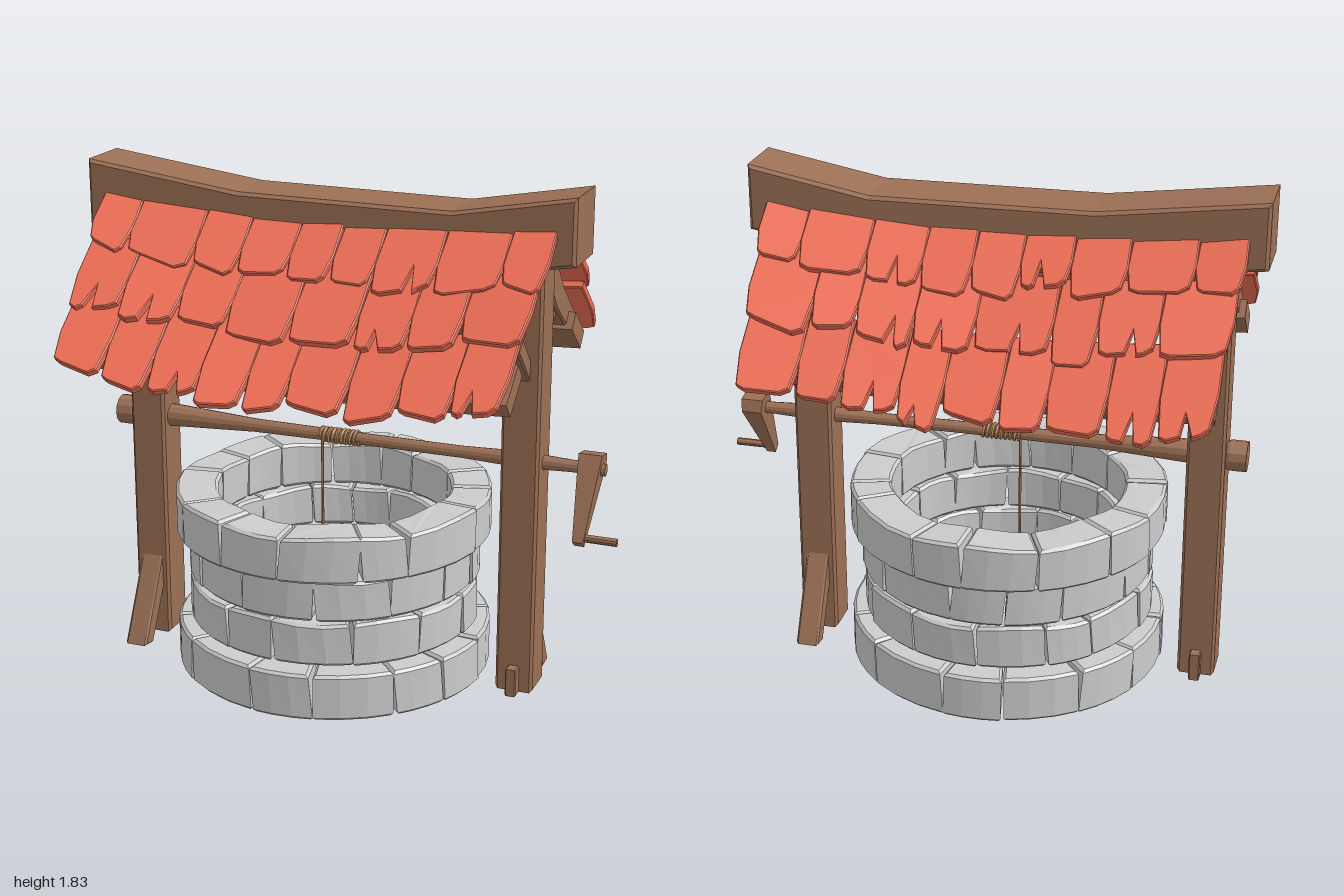
import * as THREE from 'three';

const mat = (color) => new THREE.MeshStandardMaterial({ color, flatShading: true });
const CX = -0.09; // centre of the well and roof

// small seeded random generator
function seeded(seed) {
  let s = seed;
  return (a = 0, b = 1) => {
    s = (s * 16807) % 2147483647;
    return a + (b - a) * (s / 2147483647);
  };
}

// bevelled extrusion of a list of [x, y] points, bevel kept inside the outline and depth
function slab(points, depth, bevel) {
  const shape = new THREE.Shape(points.map((p) => new THREE.Vector2(p[0], p[1])));
  const geo = new THREE.ExtrudeGeometry(shape, {
    depth: depth - 2 * bevel, bevelEnabled: bevel > 0, bevelThickness: bevel,
    bevelSize: bevel, bevelOffset: -bevel, bevelSegments: 1, steps: 1,
  });
  return geo.translate(0, 0, bevel);
}

// profile in the (z, y) plane, running from x0 to x1
function sideSlab(points, x0, x1, bevel = 0.007) {
  return slab(points, x1 - x0, bevel).rotateY(-Math.PI / 2).translate(x1, 0, 0);
}

// move every vertex by a rule
function warp(geo, rule) {
  const p = geo.attributes.position;
  const v = new THREE.Vector3();
  for (let i = 0; i < p.count; i++) {
    v.fromBufferAttribute(p, i);
    rule(v);
    p.setXYZ(i, v.x, v.y, v.z);
  }
  geo.computeVertexNormals();
  return geo;
}

export function createModel() {
  const model = new THREE.Group();
  const wood = mat(0x9c7055);
  const stone = mat(0xcccccc);
  const clay = mat(0xf27057);
  const ropeMat = mat(0xb98a5e);
  const add = (name, geo, material, parent = model) => {
    const mesh = new THREE.Mesh(geo, material);
    mesh.name = name;
    parent.add(mesh);
    return mesh;
  };

  // stone wall: four courses of curved bevelled blocks
  const wall = new THREE.Group();
  wall.name = 'stoneWall';
  wall.position.x = CX;
  model.add(wall);
  const courses = [
    [0.015, 0.185, 0.58, 0.425], [0.2, 0.358, 0.533, 0.405],
    [0.368, 0.522, 0.533, 0.405], [0.527, 0.692, 0.58, 0.425],
  ];
  courses.forEach(([y0, y1, outer, inner], c) => {
    const rnd = seeded(4177 + c * 911);
    const count = 14;
    const cuts = [];
    for (let i = 0; i < count; i++) cuts.push(((i + c * 0.5 + rnd(-0.2, 0.2)) / count) * Math.PI * 2);
    cuts.push(cuts[0] + Math.PI * 2);
    for (let i = 0; i < count; i++) {
      const a0 = cuts[i] + 0.007, a1 = cuts[i + 1] - 0.007;
      const points = [];
      const segs = 3;
      const ro = outer + rnd(-0.007, 0.003);
      for (let k = 0; k <= segs; k++) {
        const a = a0 + ((a1 - a0) * k) / segs;
        points.push([Math.cos(a) * ro, Math.sin(a) * ro]);
      }
      for (let k = segs; k >= 0; k--) {
        const a = a0 + ((a1 - a0) * k) / segs;
        points.push([Math.cos(a) * inner, Math.sin(a) * inner]);
      }
      const geo = slab(points, y1 - y0, 0.01).rotateX(-Math.PI / 2).translate(0, y0, 0);
      const lean = rnd(-0.03, 0.03);
      warp(geo, (v) => {
        const a = Math.atan2(v.z, v.x);
        const t = (v.y - y0) / (y1 - y0);
        if (c > 0) v.y += 0.007 * t * Math.sin(a * 7 + c * 2);
        const turn = lean * (t - 0.5);
        v.applyAxisAngle(new THREE.Vector3(0, 1, 0), turn);
      });
      add('stoneBlock', geo, stone, wall);
    }
  });

  // posts, with rafters, knee braces and foot props
  const rafter = [[0.02, 1.56], [0.07, 1.51], [0.19, 1.37], [0.42, 1.2], [0.475, 1.265], [0.27, 1.44], [0.12, 1.62], [0.02, 1.66]];
  const knee = [[0.06, 1.17], [0.235, 1.345], [0.19, 1.39], [0.06, 1.255]];
  const prop = [[0.05, 0.36], [0.23, 0.015], [0.165, 0.005], [0.05, 0.22]];
  const flip = (points, s) => points.map(([z, y]) => [z * s, y]);
  for (const [x0, x1, propSide] of [[-0.878, -0.743, 1], [0.56, 0.698, -1]]) {
    const mid = (x0 + x1) / 2;
    add('post', sideSlab([[-0.07, 0.01], [0.07, 0.01], [0.07, 1.64], [-0.07, 1.64]], x0, x1, 0.01), wood);
    for (const s of [1, -1]) {
      add('rafter', sideSlab(flip(rafter, s), mid - 0.045, mid + 0.045), wood);
      add('kneeBrace', sideSlab(flip(knee, s), mid - 0.03, mid + 0.03), wood);
    }
    add('footProp', sideSlab(flip(prop, propSide), mid - 0.042, mid + 0.042), wood);
    const peg = [[0.05, 0.005], [0.11, 0.005], [0.11, 0.11], [0.05, 0.11]];
    add('footPeg', sideSlab(flip(peg, -propSide), mid - 0.02, mid + 0.02, 0.004), wood);
  }

  // sagging ridge beam
  const ridge = [[-0.995, 1.6], [-0.41, 1.53], [0.38, 1.525], [0.815, 1.6], [0.815, 1.835], [0.38, 1.755], [-0.41, 1.76], [-0.995, 1.835]];
  add('ridgeBeam', slab(ridge, 0.235, 0.012).translate(0, 0, -0.125), wood);

  // planks under the eaves
  for (const s of [1, -1]) {
    const geo = new THREE.BoxGeometry(1.58, 0.07, 0.16, 4, 1, 1);
    geo.rotateX(s * 0.7).translate(CX, 1.245, s * 0.385);
    warp(geo, (v) => { v.y -= 0.025 * (1 - ((v.x - CX) / 0.79) ** 2); });
    add('eavePlank', geo, wood);
  }

  // roof: three overlapping rows of ragged tiles on each side
  const pitch = -0.764;
  const bottoms = [0.25, 0.475, 0.735];
  for (const s of [1, -1]) {
    const side = new THREE.Group();
    side.name = s > 0 ? 'frontRoof' : 'backRoof';
    side.position.x = CX;
    model.add(side);
    const rnd = seeded(s > 0 ? 7321 : 15013);
    bottoms.forEach((bottom, row) => {
      const top = row === 0 ? 0 : bottoms[row - 1] - 0.08;
      const count = 9 - (row % 2);
      const half = 0.84 - row * 0.015;
      const cuts = [];
      for (let i = 0; i <= count; i++) {
        const edge = i === 0 || i === count;
        cuts.push(-half + (2 * half * (i + (edge ? 0 : rnd(-0.2, 0.2)))) / count);
      }
      for (let i = 0; i < count; i++) {
        const w = cuts[i + 1] - cuts[i];
        const len = bottom - top + rnd(-0.03, 0.025);
        const h = w / 2 - 0.002;
        const slant = rnd(-0.018, 0.018);
        const points = [[-h, 0], [-h - 0.004, -len * 0.6], [-h + 0.012, -len + slant + 0.012], [-h * 0.6, -len + slant]];
        if (rnd() < 0.35) { // split in the lower edge
          const n = rnd(-0.3, 0.3) * h;
          points.push([n - 0.018, -len + 0.004], [n + rnd(-0.012, 0.012), -len + rnd(0.07, 0.11)], [n + 0.02, -len]);
        }
        points.push([h * 0.6, -len - slant], [h - 0.01, -len - slant + 0.02], [h + 0.004, -len * 0.55], [h, 0]);
        const geo = slab(points, 0.03, 0.004);
        geo.rotateY(rnd(-0.05, 0.05)).rotateX(-0.09 + rnd(-0.05, 0.02));
        geo.translate((cuts[i] + cuts[i + 1]) / 2, -top, -0.025 + rnd(0, 0.008));
        geo.rotateX(pitch).translate(0, 1.72, 0.1);
        warp(geo, (v) => { v.y -= 0.05 * (1 - Math.min(1, (v.x / 0.84) ** 2)); });
        if (s < 0) geo.rotateY(Math.PI);
        add('roofTile', geo, clay, side);
      }
    });
  }

  // windlass axle, thicker at its ends
  const axle = [[0, -0.95], [0.055, -0.95], [0.055, -0.89], [0.045, -0.86], [0.042, -0.72], [0.025, -0.4],
    [0.022, 0], [0.022, 0.4], [0.03, 0.62], [0.022, 0.8], [0.022, 0.92], [0, 0.92]];
  const axleGeo = new THREE.LatheGeometry(axle.map(([r, y]) => new THREE.Vector2(r, y)), 12);
  add('axle', axleGeo.rotateZ(-Math.PI / 2).translate(0, 0.87, 0), wood);

  // rope wound on the axle and hanging into the well
  const coil = [];
  for (let i = 0; i <= 108; i++) {
    const a = (i / 12) * Math.PI * 2;
    coil.push(new THREE.Vector3(-0.14 + (i / 108) * 0.15, 0.87 + Math.sin(a) * 0.024, Math.cos(a) * 0.024));
  }
  add('ropeCoil', new THREE.TubeGeometry(new THREE.CatmullRomCurve3(coil), 160, 0.007, 5), ropeMat);
  add('rope', new THREE.CylinderGeometry(0.005, 0.005, 0.52, 6).translate(-0.127, 0.61, 0.024), ropeMat);

  // crank arm, tapering towards the handle
  const arm = [[0.02, 0.927], [0.05, 0.87], [0.152, 0.65], [0.125, 0.627], [-0.062, 0.87], [-0.05, 0.915]];
  const armGeo = warp(sideSlab(arm, -0.5, 0.5, 0.006), (v) => {
    const t = (v.y - 0.627) / 0.3;
    v.x = 0.868 + v.x * (0.035 + 0.05 * t);
  });
  add('crankArm', armGeo, wood);
  const handle = new THREE.CylinderGeometry(0.014, 0.014, 0.14, 10);
  add('crankHandle', handle.rotateZ(Math.PI / 2).translate(0.93, 0.658, 0.122), wood);

  return model;
}
